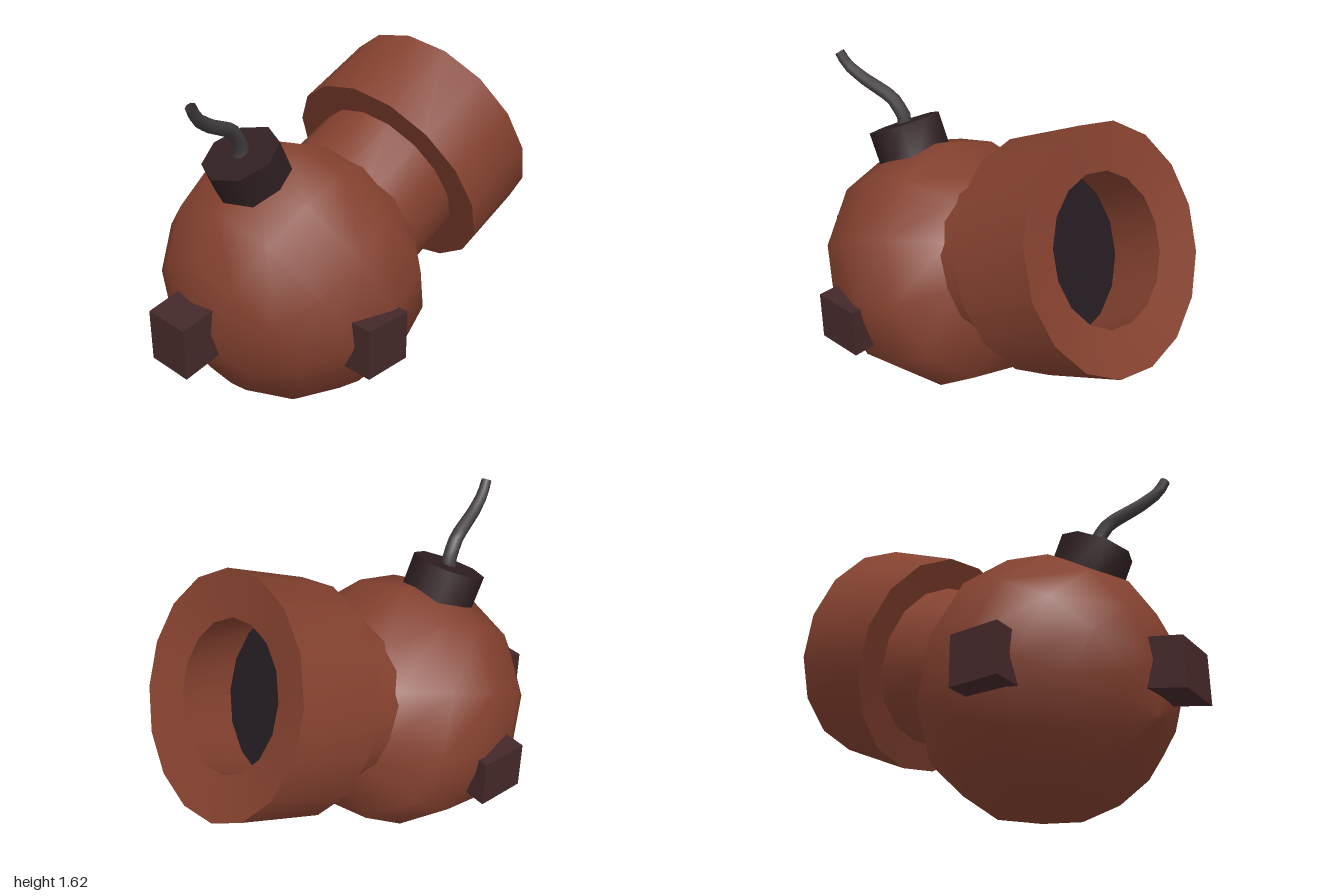
import * as THREE from 'three';
import { toCreasedNormals } from 'three/addons/utils/BufferGeometryUtils.js';

const TILT = THREE.MathUtils.degToRad(25);

function material(color) {
  return new THREE.MeshStandardMaterial({ color });
}

function part(name, geometry, mat, parent) {
  const mesh = new THREE.Mesh(geometry, mat);
  mesh.name = name;
  parent.add(mesh);
  return mesh;
}

// Turned part lying along the x axis, from [radius, x] pairs
function turned(pairs, sides) {
  const points = pairs.map(([r, x]) => new THREE.Vector2(r, x));
  return new THREE.LatheGeometry(points, sides).rotateZ(-Math.PI / 2);
}

export function createModel() {
  const model = new THREE.Group();
  const clay = material(0x84412f);
  const lug = material(0x452829);
  const dark = material(0x302022);

  // Everything on the shell's own axes: barrel along x, cap along y
  const body = new THREE.Group();
  body.name = 'body';
  body.position.set(-0.238, 0.632, 0);
  body.rotation.z = TILT;
  model.add(body);

  // Round shell, drawn in to the neck on its barrel side
  const arc = [];
  for (let i = 0; i <= 5; i++) {
    const a = (i / 8) * Math.PI;
    arc.push([0.633 * Math.sin(a), -0.633 * Math.cos(a)]);
  }
  part('shell', turned([...arc, [0.392, 0.43]], 12), clay, body);

  // Neck, thick muzzle collar, slightly dished face and a bore that widens inward
  const barrel = turned([
    [0.4, 0.3], [0.4, 0.69], [0.55, 0.685], [0.55, 1.108], [0.341, 1.064], [0.398, 0.75],
  ], 16);
  part('barrel', toCreasedNormals(barrel, 0.6), clay, body);

  // Dark floor of the bore
  const floor = part('boreFloor', new THREE.CircleGeometry(0.398, 16), material(0x231a1f), body);
  floor.rotation.y = Math.PI / 2;
  floor.position.x = 0.751;

  // Eight-sided fuse cap
  const cap = new THREE.CylinderGeometry(0.18, 0.18, 0.23, 8);
  part('fuseCap', toCreasedNormals(cap, 0.9), dark, body).position.set(-0.004, 0.617, 0);

  // Bent fuse, narrowing at its tip
  const path = new THREE.CatmullRomCurve3([
    [-0.55, 1.24, 0], [-0.55, 1.33, 0], [-0.61, 1.417, 0.02],
    [-0.755, 1.487, 0.065], [-0.84, 1.545, 0.095], [-0.877, 1.607, 0.11],
  ].map((p) => new THREE.Vector3(...p)), false, 'catmullrom', 0.2);
  const rings = 12, sides = 8;
  const fuse = new THREE.TubeGeometry(path, rings, 0.035, sides);
  const pos = fuse.attributes.position;
  const v = new THREE.Vector3();
  for (let i = 0; i < pos.count; i++) {
    const t = Math.floor(i / (sides + 1)) / rings;
    const centre = path.getPointAt(t);
    v.fromBufferAttribute(pos, i).sub(centre).multiplyScalar(1 - 0.3 * t * t).add(centre);
    pos.setXYZ(i, v.x, v.y, v.z);
  }
  const fuseMat = material(0x443e40);
  fuseMat.side = THREE.DoubleSide;
  part('fuse', fuse, fuseMat, model);

  // Square lugs on both sides
  for (const side of [1, -1]) {
    const mesh = part(side > 0 ? 'frontLug' : 'backLug', new THREE.BoxGeometry(0.24, 0.24, 0.25), lug, model);
    mesh.position.set(-0.328, 0.53, side * 0.55);
  }

  // Rear lug, sloping up toward the shell
  const rear = new THREE.BoxGeometry(0.3, 0.24, 0.24).translate(-0.85, 0.53, 0);
  const rp = rear.attributes.position;
  for (let i = 0; i < rp.count; i++) rp.setY(i, rp.getY(i) + 0.23 * (rp.getX(i) + 1));
  rear.computeVertexNormals();
  part('rearLug', rear, lug, model);

  return model;
}
